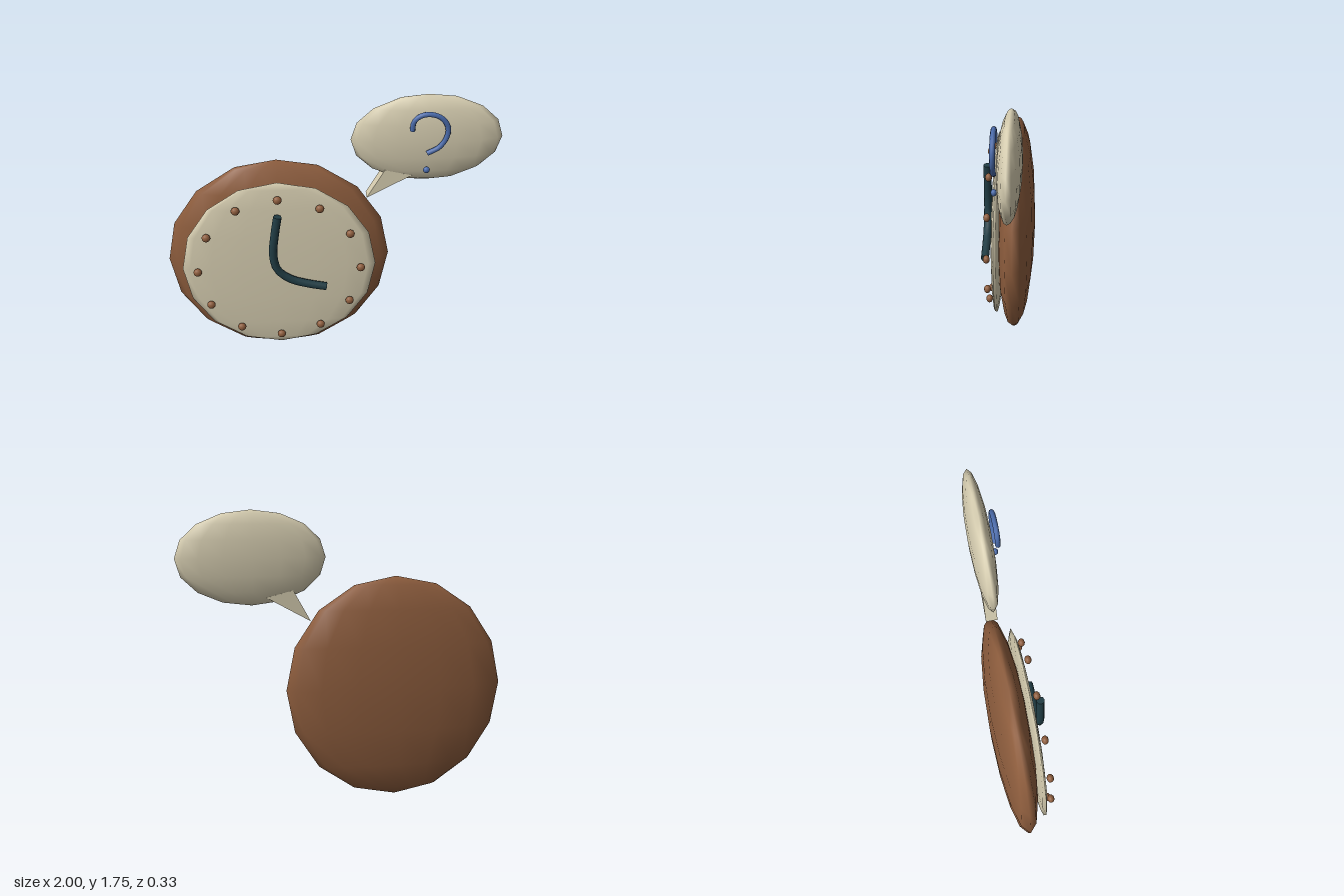
import * as THREE from 'three';

const material = (name, color, flatShading = false) => {
  const m = new THREE.MeshStandardMaterial({ color });
  m.name = name;
  return m;
};

export function createModel() {
  const group = new THREE.Group();
  const brown = material('brown wood', 0x8f5e3e);
  const cream = material('cream', 0xd8cfb2);
  const teal = material('dark teal', 0x223e46);
  const blue = material('blue', 0x4a6bab);

  const add = (name, geometry, mat) => {
    const mesh = new THREE.Mesh(geometry, mat);
    mesh.name = name;
    group.add(mesh);
    return mesh;
  };

  // Squashed sphere, poles up and down
  const ellipsoid = (name, mat, [x, y, z], [rx, ry, rz], w = 16, h = 8) => {
    const mesh = add(name, new THREE.SphereGeometry(1, w, h), mat);
    mesh.position.set(x, y, z);
    mesh.scale.set(rx, ry, rz);
    return mesh;
  };

  // Round bar through points in one z plane, with closed ends
  const bar = (name, mat, points, z, radius, segments) => {
    const path = new THREE.CatmullRomCurve3(points.map(([x, y]) => new THREE.Vector3(x, y, z)));
    add(name, new THREE.TubeGeometry(path, segments, radius, 8), mat);
    for (const t of [0, 1]) {
      const cap = add(name + 'End', new THREE.CircleGeometry(radius, 8), mat);
      cap.position.copy(path.getPoint(t));
      const out = path.getTangent(t).multiplyScalar(t ? 1 : -1);
      cap.lookAt(cap.position.clone().add(out));
    }
  };

  // Clock body and dial
  const cx = -0.323, cy = 0.68;
  ellipsoid('clockBody', brown, [cx, cy, -0.044], [0.677, 0.677, 0.12]);
  ellipsoid('clockFace', cream, [cx, cy, 0.07], [0.588, 0.588, 0.036]);

  // Twelve hour markers
  for (let i = 0; i < 12; i++) {
    const a = (i * Math.PI) / 6;
    ellipsoid('hourMarker', brown,
      [cx + 0.495 * Math.sin(a), cy + 0.495 * Math.cos(a), 0.116], [0.026, 0.026, 0.021], 12, 8);
  }

  // Bent hands
  bar('clockHands', teal, [[-0.325, 1.078], [-0.345, 0.95], [-0.358, 0.81], [-0.335, 0.7],
    [-0.26, 0.63], [-0.15, 0.59], [-0.04, 0.565]], 0.141, 0.025, 16);

  // Speech bubble with a wedge tail
  ellipsoid('speechBubble', cream, [0.556, 1.477, -0.044], [0.444, 0.278, 0.069]);
  const tail = new THREE.Shape([[0.21, 1.1], [0.475, 1.245], [0.315, 1.285]]
    .map(([x, y]) => new THREE.Vector2(x, y)));
  add('bubbleTail', new THREE.ExtrudeGeometry(tail, { depth: 0.07, bevelEnabled: false }), cream)
    .position.z = -0.08;

  // Question mark
  bar('questionHook', blue, [[0.458, 1.568], [0.465, 1.625], [0.502, 1.66], [0.56, 1.668],
    [0.62, 1.645], [0.66, 1.59], [0.66, 1.53], [0.62, 1.46], [0.55, 1.42]], 0.043, 0.0155, 24);
  ellipsoid('questionDot', blue, [0.551, 1.31, 0.043], [0.02, 0.02, 0.017], 12, 8);

  return group;
}
